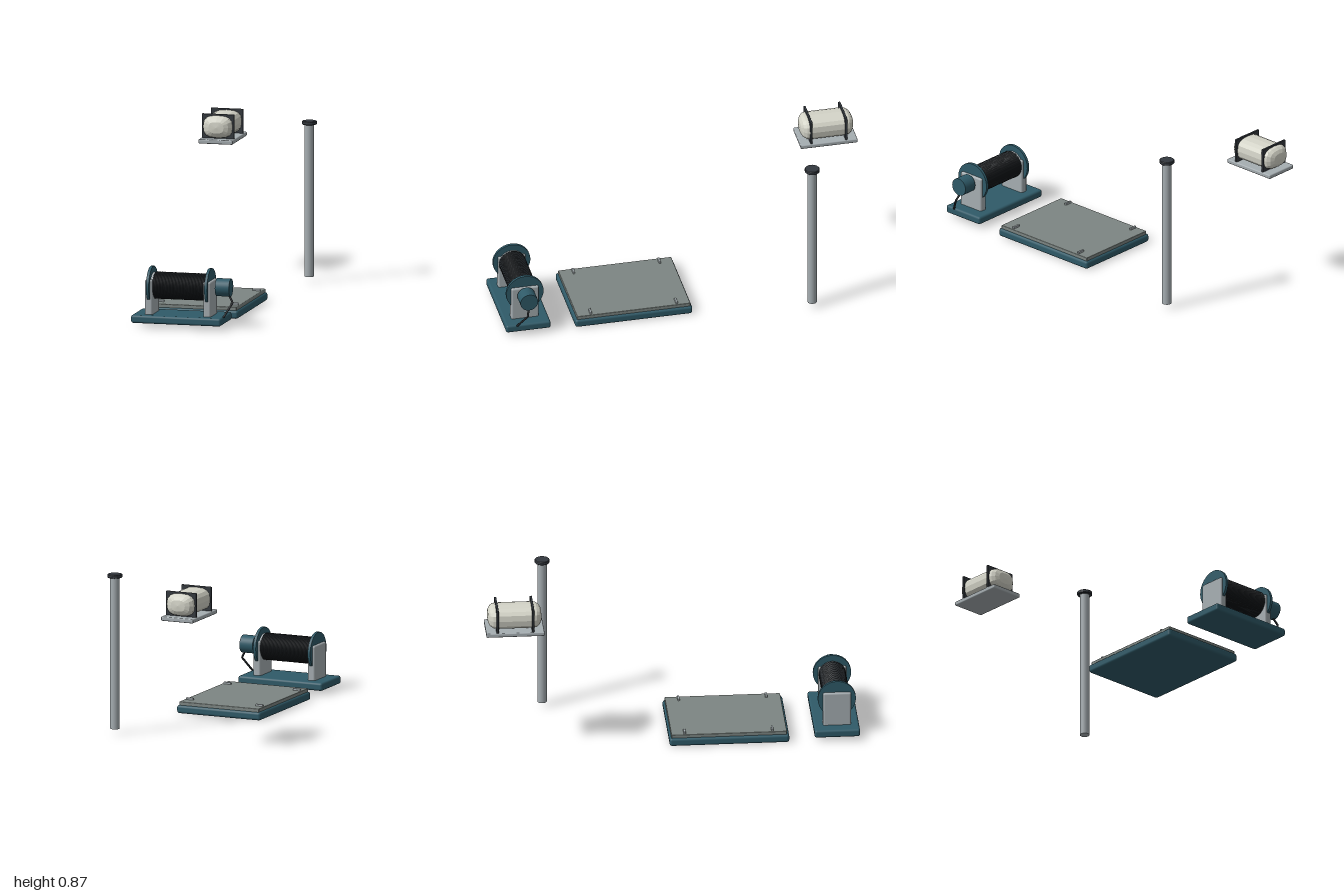
import * as THREE from 'three';
import { RoundedBoxGeometry } from 'three/addons/geometries/RoundedBoxGeometry.js';

const mat = (color, flatShading = false) => new THREE.MeshStandardMaterial({ color, flatShading });
const TEAL = mat(0x2f5a68);
const STEEL = mat(0xa6aeb2);
const PANEL = mat(0x7d8683);
const DARK = mat(0x34393f);
const ROPE = mat(0x22262a);
const SHELL = mat(0xd4d4c8, true);

function add(parent, name, geometry, material, x = 0, y = 0, z = 0) {
  const mesh = new THREE.Mesh(geometry, material);
  mesh.name = name;
  mesh.position.set(x, y, z);
  parent.add(mesh);
  return mesh;
}

// Rounded box given by its extents along each axis
function slab(parent, name, [x0, x1], [y0, y1], [z0, z1], material, radius) {
  const g = new RoundedBoxGeometry(x1 - x0, y1 - y0, z1 - z0, 2, radius);
  return add(parent, name, g, material, (x0 + x1) / 2, (y0 + y1) / 2, (z0 + z1) / 2);
}

// Cylinder lying along x
function axle(parent, name, x0, x1, radius, material, y, z) {
  const g = new THREE.CylinderGeometry(radius, radius, x1 - x0, 32).rotateZ(Math.PI / 2);
  return add(parent, name, g, material, (x0 + x1) / 2, y, z);
}

function makeWinch() {
  const winch = new THREE.Group();
  winch.name = 'winch';
  const Y = 0.211, Z = 0.881;
  slab(winch, 'winchBase', [-0.265, 0.229], [0.02, 0.063], [0.757, 1.0], TEAL, 0.012);

  // Side posts and drum flanges
  for (const x of [-0.178, 0.142]) {
    slab(winch, 'post', [x - 0.021, x + 0.021], [0.05, 0.25], [0.807, 0.957], STEEL, 0.01);
    axle(winch, 'flange', x - 0.0075, x + 0.0075, 0.102, TEAL, Y, Z);
  }

  // Drum wound with rope
  axle(winch, 'drum', -0.178, 0.135, 0.068, STEEL, Y, Z);
  const turns = 36, x0 = -0.155, x1 = 0.121;
  const coil = new THREE.TorusGeometry(0.0685, 0.0044, 8, 32).rotateY(Math.PI / 2);
  for (let i = 0; i < turns; i++) {
    add(winch, 'ropeTurn', coil, ROPE, x0 + (x1 - x0) * i / (turns - 1), Y, Z);
  }

  // Motor and its bent cable
  axle(winch, 'motor', 0.179, 0.256, 0.048, TEAL, 0.214, Z);
  const cable = new THREE.CurvePath();
  const pts = [[0.243, 0.175, 0.881], [0.268, 0.135, 0.892], [0.229, 0.06, 0.941]]
    .map(p => new THREE.Vector3(...p));
  cable.add(new THREE.LineCurve3(pts[0], pts[1]));
  cable.add(new THREE.LineCurve3(pts[1], pts[2]));
  add(winch, 'motorCable', new THREE.TubeGeometry(cable, 24, 0.0055, 8), ROPE);
  return winch;
}

function makeHatch() {
  const hatch = new THREE.Group();
  hatch.name = 'hatch';
  slab(hatch, 'hatchFrame', [-0.265, 0.227], [0, 0.045], [-0.017, 0.622], TEAL, 0.014);
  slab(hatch, 'hatchPanel', [-0.253, 0.216], [0.04, 0.063], [-0.007, 0.61], PANEL, 0.004);
  for (const x of [-0.223, 0.185]) {
    for (const z of [0.065, 0.533]) {
      slab(hatch, 'hatchLatch', [x - 0.022, x + 0.022], [0.058, 0.074], [z - 0.006, z + 0.006], STEEL, 0.003);
    }
  }
  return hatch;
}

function makePole() {
  const pole = new THREE.Group();
  pole.name = 'pole';
  pole.position.set(0.289, 0, -0.654);
  add(pole, 'shaft', new THREE.CylinderGeometry(0.0255, 0.0255, 0.825, 20), STEEL, 0, 0.4405, 0);
  const profile = [[0, 0.848], [0.037, 0.848], [0.04, 0.851], [0.04, 0.864], [0.037, 0.867], [0, 0.867]];
  const cap = new THREE.LatheGeometry(profile.map(p => new THREE.Vector2(...p)), 20);
  add(pole, 'cap', cap, mat(0x34393f, true));
  return pole;
}

function makeCanister() {
  const group = new THREE.Group();
  group.name = 'canister';
  const X = -0.237, Y = 0.798, Z = -0.845;
  slab(group, 'cradlePlate', [-0.331, -0.143], [0.712, 0.735], [-1.0, -0.69], STEEL, 0.006);

  // Capsule along z, with its cross-section squared off and widened
  const shell = new THREE.CapsuleGeometry(1, 2, 4, 16, 1).rotateX(Math.PI / 2);
  const p = shell.attributes.position;
  const square = v => Math.sign(v) * Math.pow(Math.abs(v), 0.72);
  for (let i = 0; i < p.count; i++) {
    const z = p.getZ(i), end = Math.max(0, Math.abs(z) - 1);
    p.setXYZ(i, square(p.getX(i)) * 0.082, square(p.getY(i)) * 0.061,
      Math.sign(z) * (0.098 + 0.047 * end));
  }
  shell.computeVertexNormals();
  add(group, 'shell', shell, SHELL, X, Y, Z);

  // Square bands near both ends
  for (const z of [-0.94, -0.75]) {
    slab(group, 'band', [X - 0.089, X + 0.089], [0.733, 0.866], [z - 0.006, z + 0.006], DARK, 0.003);
  }
  return group;
}

export function createModel() {
  const model = new THREE.Group();
  model.name = 'deckEquipment';
  model.add(makeWinch(), makeHatch(), makePole(), makeCanister());
  return model;
}
